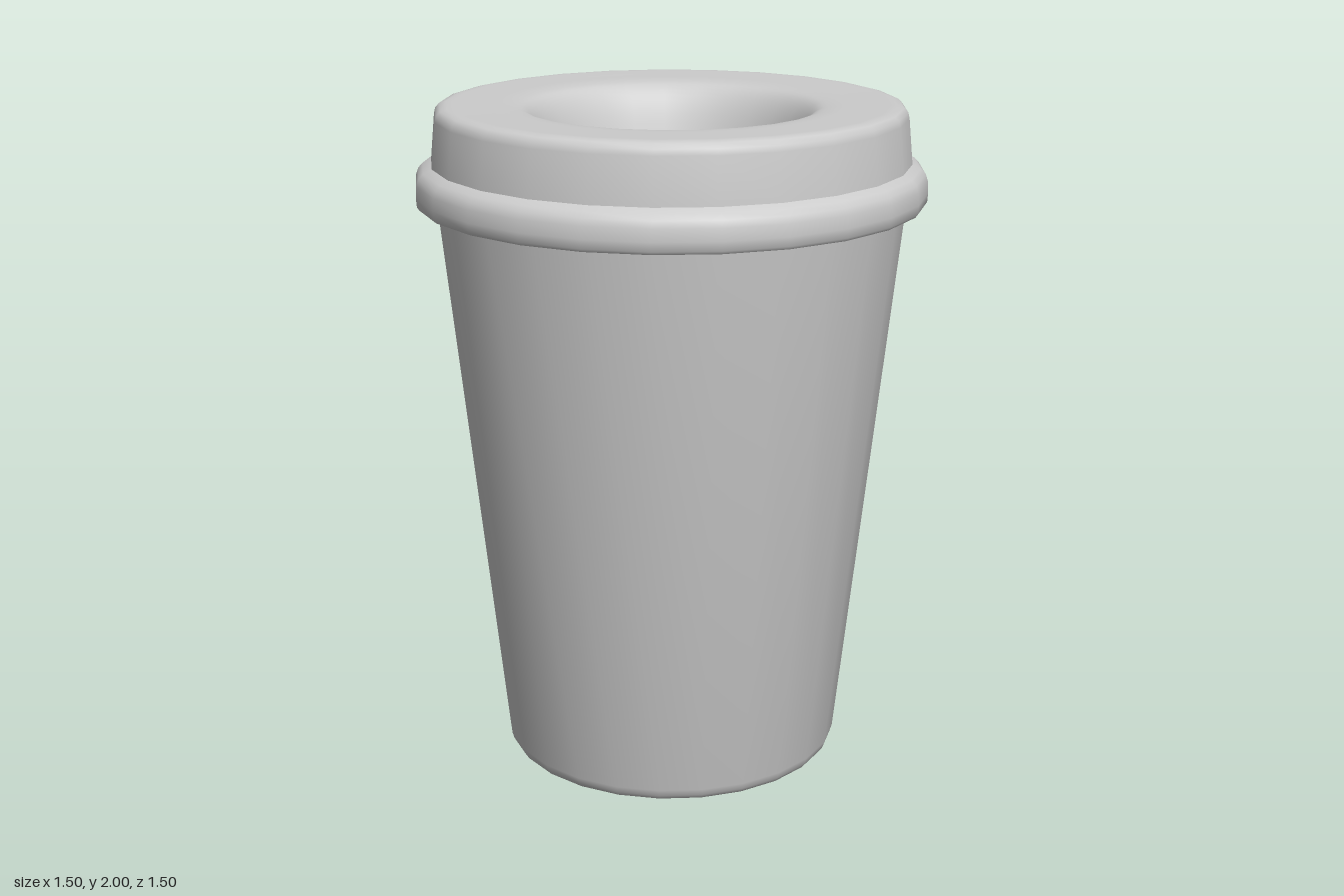
import * as THREE from 'three';
import { toCreasedNormals } from 'three/addons/utils/BufferGeometryUtils.js';

const SIDES = 25;
const vec = ([r, y]) => new THREE.Vector2(r, y);

// Turned part with a vertex on +x; soft where the profile bends gently, crisp at corners
function turned(name, points) {
  const geometry = new THREE.LatheGeometry(points, SIDES, Math.PI / 2);
  const material = new THREE.MeshStandardMaterial({ color: 0xcccccc, side: THREE.DoubleSide });
  const mesh = new THREE.Mesh(toCreasedNormals(geometry, 0.65), material);
  mesh.name = name;
  return mesh;
}

export function createModel() {
  const group = new THREE.Group();
  group.name = 'lidded cup';

  // Tapered cup: underside, rounded foot, outer wall, rim, inner wall, inner floor
  group.add(turned('cup', [
    [0, 0], [0.485, 0], [0.497, 0.006], [0.507, 0.02], [0.513, 0.04],
    [0.692, 1.74], [0.697, 1.79],
    [0.677, 1.79], [0.493, 0.05], [0.47, 0.03], [0, 0.03],
  ].map(vec)));

  // Funnel in the lid: nearly flat near the rim, then rolling steeply down to the hole
  const funnel = new THREE.SplineCurve([
    [0.655, 2], [0.55, 1.998], [0.47, 1.995], [0.42, 1.98],
    [0.38, 1.925], [0.345, 1.83], [0.322, 1.75], [0.31, 1.69],
  ].map(vec)).getPoints(28);

  // Underside of the funnel, a thin shell inside it
  const underside = [
    [0.31, 1.67], [0.33, 1.72], [0.37, 1.83], [0.41, 1.92], [0.46, 1.968], [0.55, 1.978],
    [0.66, 1.97], [0.68, 1.84], [0.7, 1.8], [0.7, 1.715],
  ].map(vec);

  // Lid: snap band, step, side wall and rounded top edge, then funnel and underside
  const outside = [
    [0.7, 1.715], [0.742, 1.715], [0.749, 1.724], [0.751, 1.75], [0.749, 1.785],
    [0.742, 1.805], [0.728, 1.82], [0.703, 1.832],
    [0.69, 1.965], [0.686, 1.982], [0.674, 1.995],
  ].map(vec);
  group.add(turned('lid', [...outside, ...funnel, ...underside]));

  return group;
}
